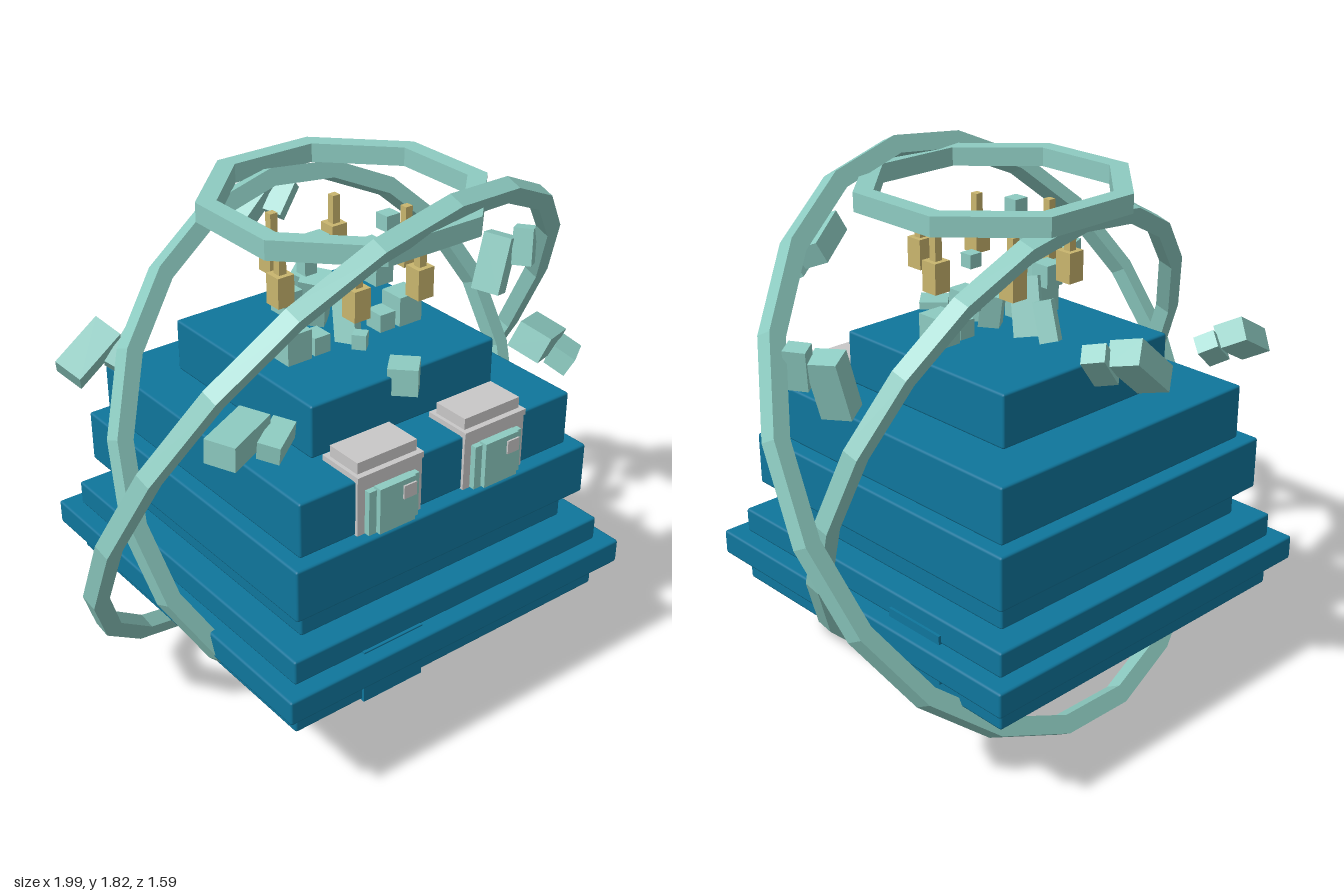
import * as THREE from 'three';
import { RoundedBoxGeometry } from 'three/addons/geometries/RoundedBoxGeometry.js';

const material = (name, color) => {
  const m = new THREE.MeshStandardMaterial({ color });
  m.name = name;
  return m;
};

export function createModel() {
  const blue = material('deep blue', 0x0f769c);
  const teal = material('pale teal', 0x8dcbc1);
  const gold = material('muted gold', 0xc9b56e);
  const grey = material('light grey', 0xc9c7c7);

  const model = new THREE.Group();
  model.name = 'floatingZiggurat';

  const add = (parent, name, geometry, mat, pos, rot = [0, 0, 0]) => {
    const mesh = new THREE.Mesh(geometry, mat);
    mesh.name = name;
    mesh.position.set(...pos);
    mesh.rotation.set(...rot);
    parent.add(mesh);
    return mesh;
  };
  const box = (parent, name, mat, size, pos, rot) =>
    add(parent, name, new THREE.BoxGeometry(...size), mat, pos, rot);
  const group = (name, x = 0, y = 0, z = 0) => {
    const g = new THREE.Group();
    g.name = name;
    g.position.set(x, y, z);
    model.add(g);
    return g;
  };

  // Stacked square tiers: half width, bottom, top
  const tiers = [
    [0.417, 0.25, 0.335], [0.623, 0.335, 0.43], [0.68, 0.43, 0.515], [0.623, 0.515, 0.6],
    [0.535, 0.6, 0.7], [0.583, 0.7, 0.88], [0.535, 0.88, 1.067], [0.36, 1.067, 1.245],
  ];
  const body = group('tieredBody');
  for (const [h, y0, y1] of tiers) {
    add(body, 'tier', new RoundedBoxGeometry(h * 2, y1 - y0, h * 2, 1, 0.008), blue, [0, (y0 + y1) / 2, 0]);
  }
  // Shallow panels on the lower tiers
  box(body, 'sidePanel', blue, [0.04, 0.17, 0.23], [0.612, 0.46, -0.25]);
  box(body, 'frontPanel', blue, [0.23, 0.19, 0.04], [-0.255, 0.425, 0.612]);

  // Faceted band with a square section, facing along its normal
  const ring = (name, sides, outer, inner, width, center, normal, turn) => {
    const corners = (r) => Array.from({ length: sides }, (_, i) => {
      const a = turn + (i / sides) * Math.PI * 2;
      return new THREE.Vector2(r * Math.cos(a), r * Math.sin(a));
    });
    const shape = new THREE.Shape(corners(outer));
    shape.holes.push(new THREE.Path(corners(inner)));
    const geo = new THREE.ExtrudeGeometry(shape, { depth: width, bevelEnabled: false });
    geo.translate(0, 0, -width / 2);
    const mesh = add(model, name, geo, teal, center);
    mesh.lookAt(new THREE.Vector3(...center).add(new THREE.Vector3(...normal)));
  };
  ring('largeOrbitRing', 20, 1.01, 0.95, 0.055, [0, 0.91, 0], [0.17, -0.46, 0.87], Math.PI / 2);
  ring('smallOrbitRing', 20, 0.865, 0.808, 0.055, [0, 0.89, 0], [0.12, 0.35, 0.93], Math.PI / 2);
  ring('crownRing', 8, 0.455, 0.39, 0.062, [0, 1.71, 0.055], [0, 1, 0], Math.PI / 8);

  // Gold pendants around the crown
  for (let i = 0; i < 6; i++) {
    const a = (i * Math.PI) / 3;
    const g = group('pendant', 0.245 * Math.cos(a), 0, 0.058 + 0.245 * Math.sin(a));
    box(g, 'pendantBody', gold, [0.06, 0.1, 0.06], [0, 1.478, 0]);
    box(g, 'pendantRod', gold, [0.027, 0.1, 0.027], [0, 1.573, 0]);
  }

  // Gold keel with sloping ends
  const keel = group('keel', 0, 0, -0.11);
  box(keel, 'keelBar', gold, [0.33, 0.07, 0.1], [0, 0.216, 0]);
  for (const s of [-1, 1]) {
    box(keel, 'keelEnd', gold, [0.13, 0.045, 0.11], [s * 0.2, 0.229, 0], [0, 0, s * 0.72]);
  }

  // Two front doorways
  for (const x of [-0.21, 0.205]) {
    const g = group('doorway', x, 0, 0);
    box(g, 'doorFrame', grey, [0.245, 0.19, 0.14], [0, 0.975, 0.475]);
    box(g, 'doorCap', grey, [0.25, 0.02, 0.17], [0, 1.075, 0.465]);
    box(g, 'doorRoof', grey, [0.225, 0.045, 0.13], [0, 1.1, 0.465]);
    box(g, 'doorPanel', teal, [0.19, 0.15, 0.025], [0, 0.957, 0.553]);
    box(g, 'doorInset', teal, [0.135, 0.155, 0.03], [0, 0.963, 0.568]);
    box(g, 'doorPlate', grey, [0.048, 0.045, 0.008], [0.043, 1.0, 0.585]);
  }

  // Blocks resting or hovering above the top tier
  const blocks = group('roofBlocks');
  for (const s of [-1, 1]) {
    box(blocks, 'cornerBlock', teal, [0.09, 0.1, 0.09], [s * 0.22, 1.295, 0.075]);
    box(blocks, 'sideBlock', teal, [0.07, 0.075, 0.07], [s * 0.18, 1.4, 0.0]);
    box(blocks, 'lowBlock', teal, [0.06, 0.06, 0.07], [s * 0.13, 1.275, 0.08]);
    box(blocks, 'hoverCube', teal, [0.052, 0.052, 0.052], [s * 0.135, 1.615, 0.1]);
    box(blocks, 'hoverCube', teal, [0.045, 0.045, 0.045], [s * 0.125, 1.51, 0.03]);
  }
  box(blocks, 'frontBlock', teal, [0.095, 0.09, 0.095], [0, 1.225, 0.35], [0, Math.PI / 4, 0]);
  box(blocks, 'tallShard', teal, [0.08, 0.19, 0.09], [-0.03, 1.34, -0.06], [0.15, 0.7, 0.22]);
  box(blocks, 'shard', teal, [0.06, 0.15, 0.07], [0, 1.3, 0.07], [-0.2, 0.6, -0.15]);
  box(blocks, 'rearShard', teal, [0.06, 0.13, 0.06], [0, 1.33, -0.18], [0.3, 0.6, 0.1]);
  box(blocks, 'smallShard', teal, [0.045, 0.05, 0.045], [-0.01, 1.27, 0.15], [0, 0.7, 0]);

  // Five orbiting rubble pairs: position, rotation
  const rubble = [
    [[0.21, 1.42, 0.7], [0.4, 0.4, -0.47]],
    [[-0.63, 1.25, 0.4], [0.05, 0.45, 0]],
    [[-0.62, 1.17, -0.45], [0.5, 0.4, 0.35]],
    [[0.2, 1.39, -0.72], [0.25, 0.3, 0.65]],
    [[0.725, 1.28, -0.01], [0.1, 0.45, 1.25]],
  ];
  for (const [p, r] of rubble) {
    const g = group('rubblePair', ...p);
    g.rotation.set(...r);
    box(g, 'rubbleLarge', teal, [0.2, 0.08, 0.1], [-0.01, 0.01, -0.01]);
    box(g, 'rubbleSmall', teal, [0.13, 0.06, 0.07], [0.07, -0.015, 0.07], [0.1, 0.15, 0.1]);
  }

  return model;
}
